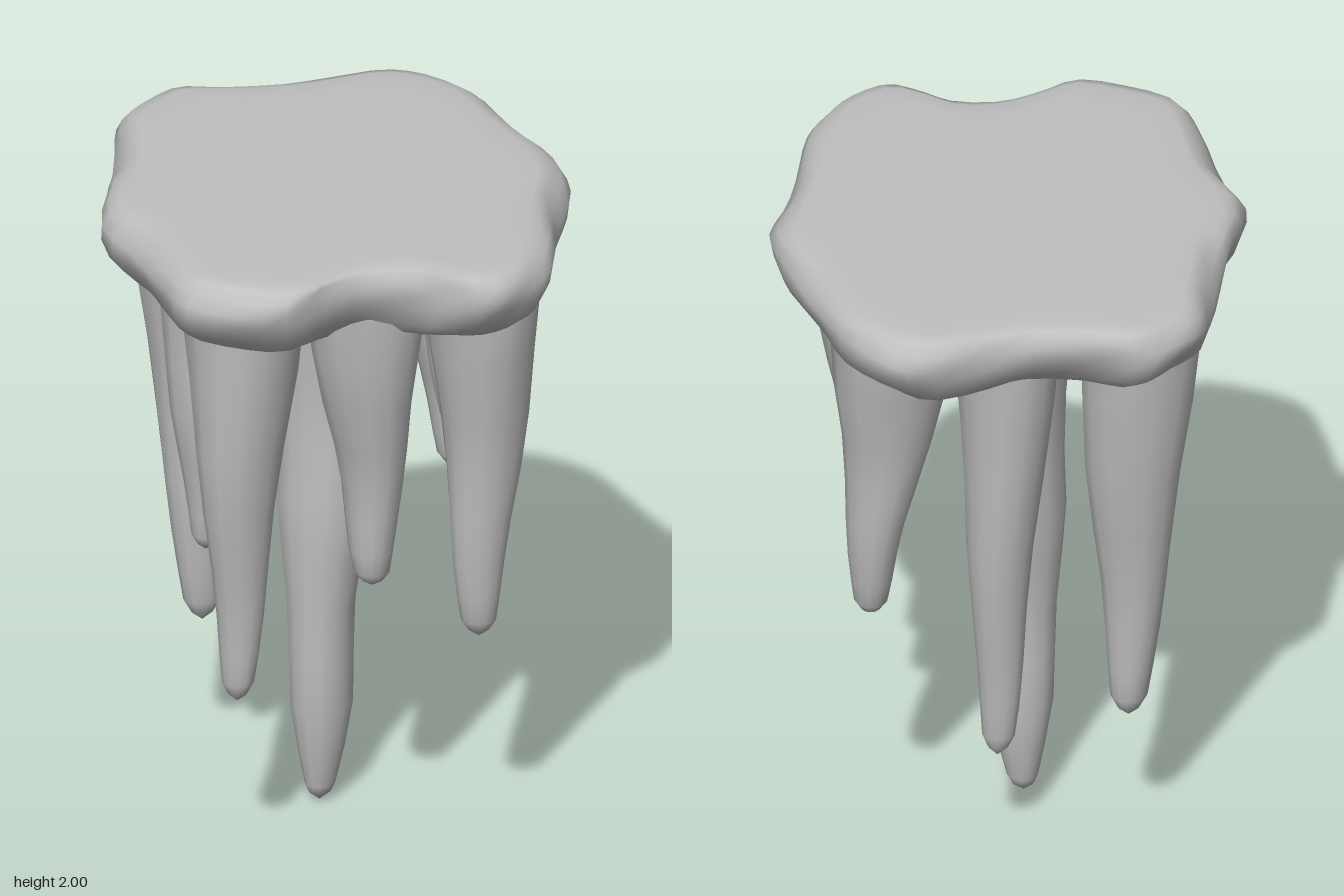
import * as THREE from 'three';
import { mergeVertices } from 'three/addons/utils/BufferGeometryUtils.js';

// Skin a stack of closed rings, ordered from bottom to top
function loft(rings) {
  const n = rings[0].length, pos = [], idx = [];
  for (const ring of rings) for (const p of ring) pos.push(p.x, p.y, p.z);
  for (let j = 0; j < rings.length - 1; j++) {
    for (let i = 0; i < n; i++) {
      const a = j * n + i, b = j * n + (i + 1) % n, c = a + n, d = b + n;
      idx.push(a, c, b, b, c, d);
    }
  }
  let g = new THREE.BufferGeometry();
  g.setAttribute('position', new THREE.Float32BufferAttribute(pos, 3));
  g.setIndex(idx);
  g = mergeVertices(g, 1e-5);
  g.computeVertexNormals();
  return g;
}

// Profiles: [fraction from root to tip, radius as a share of the root radius]
const TAPER = [[0, 1], [0.18, 0.88], [0.36, 0.73], [0.52, 0.6], [0.66, 0.49],
  [0.78, 0.41], [0.88, 0.34], [0.95, 0.28], [0.98, 0.17], [1, 0]];
const COLUMN = [[0, 1], [0.12, 0.86], [0.25, 0.74], [0.36, 0.68], [0.46, 0.66], [0.55, 0.57],
  [0.65, 0.47], [0.74, 0.45], [0.83, 0.44], [0.91, 0.33], [0.97, 0.22], [0.985, 0.16], [1, 0]];

// Tapering icicle with a slightly lumpy, wandering shaft
function icicle({ root, tip, r, profile = TAPER, seed }) {
  const top = 1.83, sides = 14;
  const rings = profile.slice().reverse().map(([t, k]) => {
    const y = top + (tip[1] - top) * t;
    const sway = 0.012 * Math.sin(t * Math.PI) * Math.sin(t * 7 + seed);
    const cx = root[0] + (tip[0] - root[0]) * t + sway;
    const cz = root[1] + (tip[2] - root[1]) * t - sway;
    return Array.from({ length: sides }, (_, i) => {
      const a = i / sides * Math.PI * 2;
      const q = r * k * (1 + 0.05 * Math.sin(2 * a + seed + t * 3) + 0.03 * Math.sin(3 * a + seed * 2 - t * 5));
      return new THREE.Vector3(cx + q * Math.cos(a), y, cz + q * Math.sin(a));
    });
  });
  return loft(rings);
}

// Slab outline (x, z)
const OUTLINE = [[-0.72, 0.03], [-0.65, -0.18], [-0.61, -0.3], [-0.56, -0.52], [-0.52, -0.65],
  [-0.43, -0.74], [-0.33, -0.8], [-0.2, -0.77], [0, -0.75], [0.15, -0.765], [0.35, -0.79],
  [0.46, -0.74], [0.57, -0.6], [0.62, -0.42], [0.66, -0.28], [0.71, -0.1], [0.71, 0.05],
  [0.65, 0.22], [0.6, 0.38], [0.55, 0.55], [0.5, 0.67], [0.42, 0.75], [0.31, 0.8], [0.2, 0.74],
  [0.12, 0.68], [-0.04, 0.66], [-0.18, 0.71], [-0.3, 0.77], [-0.45, 0.72], [-0.6, 0.62],
  [-0.63, 0.48], [-0.66, 0.22]];

// Slab layers: [height, x scale, z scale]
const LAYERS = [[1.745, 0, 0], [1.745, 0.6, 0.55], [1.75, 0.82, 0.78], [1.772, 0.89, 0.87],
  [1.82, 0.95, 0.95], [1.88, 0.99, 0.985], [1.925, 0.995, 1], [1.96, 0.96, 0.985],
  [1.988, 0.91, 0.96], [1.998, 0.86, 0.91], [2, 0.75, 0.8], [2, 0, 0]];

function slab() {
  const curve = new THREE.CatmullRomCurve3(OUTLINE.map(([x, z]) => new THREE.Vector3(x, 0, z)), true);
  const edge = Array.from({ length: 72 }, (_, i) => curve.getPoint(i / 72));
  return loft(LAYERS.map(([y, sx, sz]) => edge.map((p, i) => {
    const a = i / 72 * Math.PI * 2;
    // uneven rim, fading out at the flat faces
    const rim = y > 1.76 && y < 1.97 ? 1 : 0;
    const dy = rim * 0.01 * (Math.sin(5 * a + 1) + Math.sin(9 * a));
    const s = 1 - rim * 0.007 * (1 + Math.sin(11 * a + y * 30));
    return new THREE.Vector3(p.x * sx * s, y + dy, p.z * sz * s);
  })));
}

const ICICLES = [
  { name: 'centreIcicle', root: [0, -0.02], tip: [-0.045, 0, 0.01], r: 0.21, profile: COLUMN },
  { name: 'frontRightIcicle', root: [-0.365, 0.43], tip: [-0.385, 0.54, 0.43], r: 0.18 },
  { name: 'frontIcicle', root: [0.005, 0.43], tip: [0.02, 0.88, 0.44], r: 0.19 },
  { name: 'frontLeftIcicle', root: [0.36, 0.43], tip: [0.345, 0.68, 0.43], r: 0.18 },
  { name: 'leftIcicle', root: [0.4, 0], tip: [0.42, 0.94, 0], r: 0.175 },
  { name: 'backLeftIcicle', root: [0.38, -0.41], tip: [0.45, 0.86, -0.38], r: 0.19 },
  { name: 'backIcicle', root: [0.04, -0.38], tip: [0.07, 0.34, -0.36], r: 0.17 },
  { name: 'backRightIcicle', root: [-0.35, -0.39], tip: [-0.32, 0.45, -0.35], r: 0.19 },
  { name: 'rightIcicle', root: [-0.38, 0.01], tip: [-0.39, 0.85, 0.02], r: 0.165 },
];

export function createModel() {
  const stone = new THREE.MeshStandardMaterial({ color: 0xbfbfbf });
  stone.name = 'paleGrey';
  const model = new THREE.Group();
  model.name = 'hangingIcicles';
  const add = (name, geometry) => {
    const mesh = new THREE.Mesh(geometry, stone);
    mesh.name = name;
    model.add(mesh);
  };
  add('ceilingSlab', slab());
  ICICLES.forEach((spec, i) => add(spec.name, icicle({ ...spec, seed: i * 1.7 })));
  return model;
}
